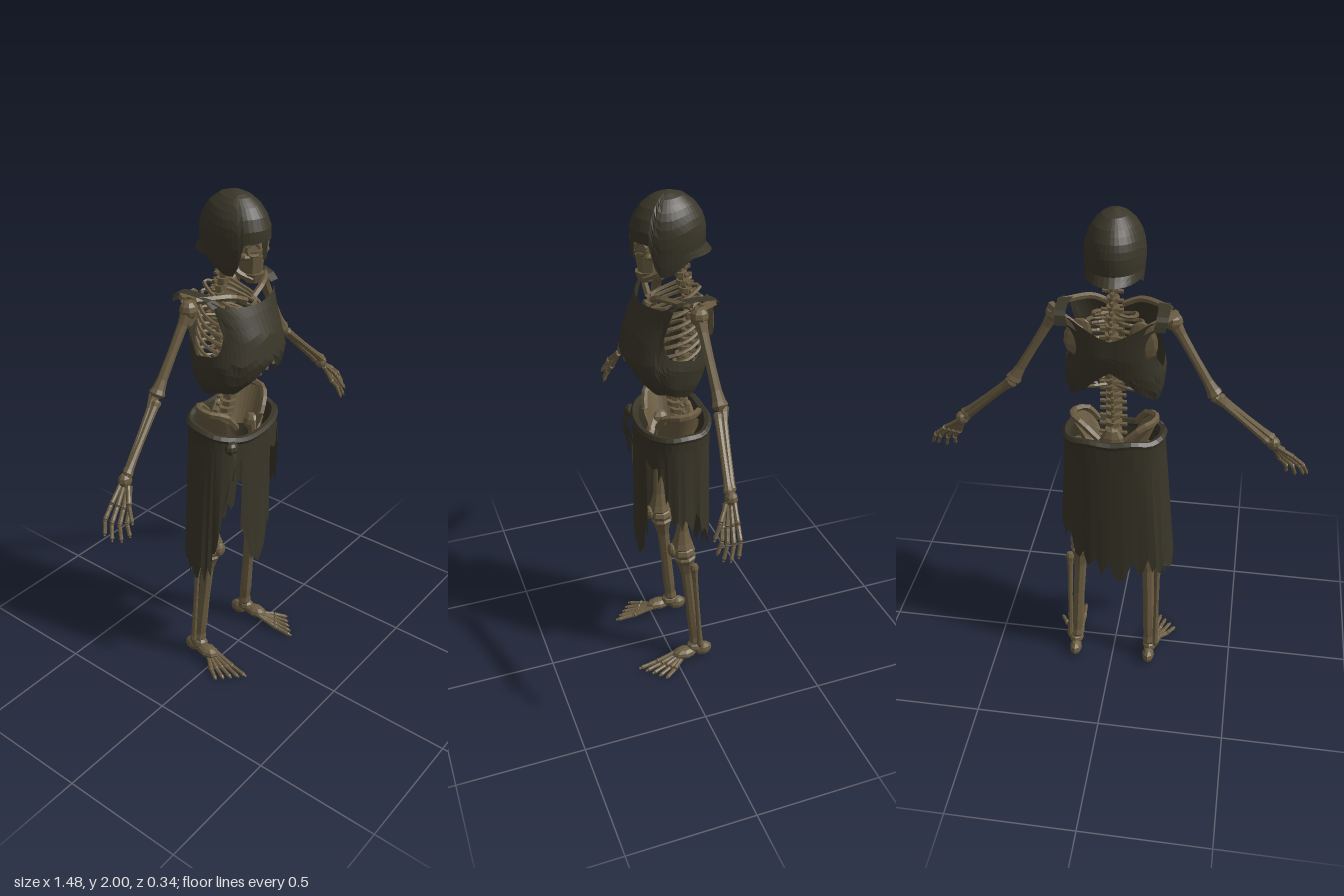
import * as THREE from 'three';
import { ParametricGeometry } from 'three/addons/geometries/ParametricGeometry.js';

const mat = (name, color) => {
  const m = new THREE.MeshStandardMaterial({ color, side: THREE.DoubleSide });
  m.name = name;
  return m;
};
const V = (x, y, z) => new THREE.Vector3(x, y, z);
const noise = (i) => { const n = Math.sin(i * 127.1 + 3.7) * 43758.5453; return n - Math.floor(n); };
const power = (x, e) => Math.sign(x) * Math.abs(x) ** e;

// piecewise linear lookup through [key, value] pairs
function ramp(pts, k) {
  if (k <= pts[0][0]) return pts[0][1];
  for (let i = 1; i < pts.length; i++) {
    const [a, p] = pts[i - 1], [b, q] = pts[i];
    if (k <= b) return p + (q - p) * (k - a) / (b - a);
  }
  return pts[pts.length - 1][1];
}

export function createModel() {
  const bone = mat('old bone', 0x6a5c41);
  const armour = mat('dark armour', 0x3a3629);
  const cloth = mat('ragged cloth', 0x393528);
  const model = new THREE.Group();
  model.name = 'armouredSkeleton';

  const add = (name, geo, material) => {
    const g = geo.index ? geo.toNonIndexed() : geo;
    g.computeVertexNormals(); // faceted look
    const mesh = new THREE.Mesh(g, material);
    mesh.name = name;
    model.add(mesh);
    return mesh;
  };
  const sheet = (name, material, fn, nu, nv) =>
    add(name, new ParametricGeometry((u, v, t) => t.set(...fn(u, v)), nu, nv), material);
  const ball = (name, p, sx, sy, sz, material = bone, n = 8) => {
    const m = add(name, new THREE.SphereGeometry(1, n, Math.max(5, n - 2)).scale(sx, sy, sz), material);
    m.position.copy(p);
    return m;
  };
  // shaft with a swollen knob at each end
  const longBone = (name, a, b, r, k0, k1 = k0) => {
    const d = b.clone().sub(a), L = d.length();
    const prof = [[0, 0], [k0 * 0.7, 0.005], [k0, 0.04], [k0 * 0.8, 0.09], [r * 1.1, 0.2], [r, 0.5],
      [r * 1.1, 0.8], [k1 * 0.8, 0.91], [k1, 0.96], [k1 * 0.7, 0.995], [0, 1]];
    const m = add(name, new THREE.LatheGeometry(prof.map(([x, y]) => new THREE.Vector2(x, y * L)), 8), bone);
    m.position.copy(a);
    m.quaternion.setFromUnitVectors(V(0, 1, 0), d.normalize());
  };
  const tube = (name, pts, r, seg = 10, sides = 5) =>
    add(name, new THREE.TubeGeometry(new THREE.CatmullRomCurve3(pts), seg, r, sides), bone);

  // ---- skull ----
  ball('cranium', V(0, 1.86, -0.02), 0.082, 0.1, 0.11, bone, 12);
  ball('face', V(0, 1.805, 0.045), 0.062, 0.06, 0.06, bone, 10);
  add('upperJaw', new THREE.CylinderGeometry(0.05, 0.038, 0.07, 8).translate(0, 1.75, 0.055), bone);
  add('chin', new THREE.CylinderGeometry(0.04, 0.028, 0.035, 8).translate(0, 1.703, 0.065), bone);
  for (const s of [1, -1]) {
    tube('eyeRim', [V(s * 0.012, 1.815, 0.098), V(s * 0.03, 1.838, 0.097), V(s * 0.056, 1.828, 0.082),
      V(s * 0.05, 1.797, 0.085), V(s * 0.02, 1.793, 0.1)], 0.007);
    ball('cheekbone', V(s * 0.055, 1.79, 0.062), 0.02, 0.013, 0.03);
    tube('jawBone', [V(s * 0.022, 1.7, 0.08), V(s * 0.05, 1.725, 0.035), V(s * 0.058, 1.785, -0.01)], 0.012);
  }

  // ---- helmet: dome with open face, cheek guards and raised nape ----
  const helmRim = [[0, 1.84], [0.6, 1.84], [0.8, 1.835], [0.92, 1.76], [1.05, 1.72], [1.35, 1.72], [1.7, 1.75], [2.1, 1.78], [Math.PI, 1.79]];
  const helmRadius = [[1.7, 0.86], [1.76, 0.94], [1.83, 1], [1.88, 0.99], [1.92, 0.88], [1.955, 0.7], [1.985, 0.4], [2, 0]];
  sheet('helmetDome', armour, (u, v) => {
    const th = (u - 0.5) * 2 * Math.PI, low = ramp(helmRim, Math.abs(th));
    const y = low + (2 - low) * Math.sin(v * Math.PI / 2), r = ramp(helmRadius, y);
    return [0.107 * r * Math.sin(th), y, -0.016 + 0.137 * r * Math.cos(th)];
  }, 40, 12);
  sheet('napeBrim', armour, (u, v) => {
    const th = 1.75 + u * (2 * Math.PI - 3.5), w = Math.sin(u * Math.PI) * v;
    return [(0.104 + 0.012 * w) * Math.sin(th), 1.81 - 0.03 * v, -0.016 + (0.135 + 0.025 * w) * Math.cos(th)];
  }, 16, 2);
  add('noseGuard', new THREE.CylinderGeometry(0.02, 0.01, 0.075, 4).scale(1, 1, 0.5).translate(0, 1.815, 0.114), armour);

  // ---- spine ----
  const spine = new THREE.CatmullRomCurve3([V(0, 1.08, -0.08), V(0, 1.2, -0.045), V(0, 1.3, -0.055), V(0, 1.45, -0.095),
    V(0, 1.58, -0.1), V(0, 1.67, -0.07), V(0, 1.79, -0.05)]);
  tube('spinalColumn', spine.points, 0.014, 24, 6);
  for (let i = 0; i < 23; i++) {
    const t = i / 22, p = spine.getPointAt(t), r = 0.034 - 0.012 * t;
    add('vertebra', new THREE.CylinderGeometry(r, r, 0.018, 8), bone).position.copy(p);
    add('vertebraWing', new THREE.BoxGeometry(r * 3.2, 0.009, 0.014), bone).position.set(0, p.y, p.z - 0.012);
    add('vertebraSpur', new THREE.BoxGeometry(0.01, 0.014, 0.03), bone).position.set(0, p.y - 0.008, p.z - 0.026);
  }

  // ---- rib cage ----
  add('breastbone', new THREE.BoxGeometry(0.035, 0.17, 0.012).rotateX(-0.25).translate(0, 1.52, 0.085), bone);
  for (const s of [1, -1]) {
    for (let i = 0; i < 10; i++) {
      const y = 1.65 - i * 0.032, w = ramp([[0, 0.075], [2, 0.12], [6, 0.145], [9, 0.13]], i);
      const fz = ramp([[0, 0.05], [5, 0.105], [7, 0.1], [9, 0.04]], i), short = i > 6;
      tube('rib', [V(s * 0.015, y, -0.09), V(s * w * 0.6, y + 0.005, -0.122), V(s * w, y - 0.03, -0.05),
        V(s * w * 0.9, y - 0.055, fz * 0.5), V(s * (short ? w * 0.6 : 0.015), y - (short ? 0.08 : 0.07), fz)], 0.0075, 16);
    }
    // shoulder girdle
    tube('collarBone', [V(s * 0.02, 1.615, 0.05), V(s * 0.09, 1.645, 0.04), V(s * 0.2, 1.65, -0.03)], 0.012);
    ball('shoulderBlade', V(s * 0.115, 1.57, -0.128), 0.05, 0.075, 0.01).rotation.z = s * 0.25;
    tube('shoulderSpine', [V(s * 0.1, 1.6, -0.135), V(s * 0.16, 1.635, -0.125), V(s * 0.222, 1.65, -0.06)], 0.015);
  }

  // ---- cuirass: shell with arm holes and an edge that peaks at front and back ----
  const top = [[0, 1.61], [0.8, 1.622], [1.02, 1.65], [1.1, 1.53], [1.3, 1.45], [1.8, 1.43], [2.08, 1.5], [2.2, 1.645], [2.5, 1.645], [Math.PI, 1.57]];
  const bottom = [[0, 1.405], [0.35, 1.345], [0.72, 1.285], [1.2, 1.3], [1.75, 1.28], [2.3, 1.305], [2.7, 1.35], [Math.PI, 1.44]];
  const frontZ = [[1.28, 0.09], [1.34, 0.135], [1.41, 0.16], [1.5, 0.145], [1.6, 0.1], [1.65, 0.07]];
  const backZ = [[1.28, -0.09], [1.33, -0.122], [1.4, -0.142], [1.5, -0.158], [1.65, -0.16]];
  const halfW = [[1.28, 0.165], [1.33, 0.18], [1.4, 0.186], [1.5, 0.168], [1.57, 0.175], [1.65, 0.205]];
  sheet('cuirass', armour, (u, v) => {
    const th = (u - 0.5) * 2 * Math.PI, a = Math.abs(th), c = Math.cos(th);
    const lo = ramp(bottom, a), y = lo + (ramp(top, a) - lo) * v;
    const f = ramp(frontZ, y), b = ramp(backZ, y), mid = (f + b) / 2, half = (f - b) / 2;
    return [ramp(halfW, y) * power(Math.sin(th), c > 0 ? 0.92 : 0.75), y, mid + half * power(c, c > 0 ? 0.95 : 0.65)];
  }, 56, 8);
  for (const s of [1, -1]) {
    const strap = new THREE.CatmullRomCurve3([V(s * 0.168, 1.63, 0.035), V(s * 0.172, 1.655, 0.005), V(s * 0.178, 1.664, -0.06),
      V(s * 0.178, 1.655, -0.13), V(s * 0.17, 1.615, -0.147)]);
    sheet('shoulderStrap', armour, (u, v) => {
      const p = strap.getPoint(u);
      return [p.x + (v - 0.5) * 0.042, p.y, p.z];
    }, 10, 1);
  }

  // ---- arms and hands ----
  for (const s of [1, -1]) {
    const P = (x, y, z) => V(s * x, y, z);
    ball('shoulderJoint', P(0.21, 1.615, -0.055), 0.034, 0.034, 0.034);
    longBone('upperArm', P(0.205, 1.625, -0.055), P(0.375, 1.335, -0.075), 0.017, 0.03, 0.03);
    longBone('ulna', P(0.365, 1.345, -0.085), P(0.578, 1.13, -0.04), 0.011, 0.022, 0.015);
    longBone('radius', P(0.382, 1.33, -0.06), P(0.595, 1.135, -0.02), 0.012, 0.018, 0.019);
    ball('wrist', P(0.597, 1.12, -0.027), 0.026, 0.028, 0.024);
    const tips = [[0.737, 0.975, 0.0], [0.725, 0.955, 0.022], [0.695, 0.94, 0.037], [0.66, 0.945, 0.045]];
    tips.forEach(([x, y, z], i) => {
      const k = P(0.672 - i * 0.015, 1.065 - i * 0.012, -0.022 + i * 0.012);
      longBone('palmBone', P(0.605 - i * 0.004, 1.115 - i * 0.004, -0.035 + i * 0.009), k, 0.008, 0.011);
      const mid = P((s * k.x + x) / 2 + 0.01, (k.y + y) / 2 + 0.006, (k.z + z) / 2 - 0.004);
      longBone('fingerBase', k, mid, 0.008, 0.01);
      longBone('fingerTip', mid, P(x, y, z), 0.007, 0.009, 0.004);
    });
    longBone('thumbBase', P(0.6, 1.11, -0.01), P(0.637, 1.06, 0.025), 0.008, 0.011);
    longBone('thumbTip', P(0.637, 1.06, 0.025), P(0.655, 1.0, 0.055), 0.007, 0.009, 0.005);
  }

  // ---- pelvis ----
  ball('sacrum', V(0, 1.1, -0.095), 0.05, 0.075, 0.028);
  tube('pubicArch', [V(-0.11, 1.04, 0), V(-0.04, 1.0, 0.045), V(0.04, 1.0, 0.045), V(0.11, 1.04, 0)], 0.018);
  for (const s of [1, -1]) {
    sheet('hipBlade', bone, (u, v) => {
      const th = 0.4 + u * 2.3, r = 0.105 + 0.062 * v;
      return [s * r * power(Math.sin(th), 0.8), 1.03 + v * (0.07 + 0.095 * Math.sin(u * Math.PI) ** 0.6),
        -0.03 + 0.088 * (0.8 + 0.2 * v) * Math.cos(th)];
    }, 12, 4);
    tube('hipCrest', [V(s * 0.075, 1.12, 0.05), V(s * 0.115, 1.175, 0.035), V(s * 0.155, 1.19, -0.01), V(s * 0.155, 1.195, -0.06),
      V(s * 0.11, 1.185, -0.1), V(s * 0.05, 1.13, -0.11)], 0.013);
    ball('hipSocket', V(s * 0.12, 1.04, -0.025), 0.035, 0.04, 0.04);
  }

  // ---- legs and feet ----
  for (const s of [1, -1]) {
    const P = (x, y, z) => V(s * x, y, z);
    longBone('thighBone', P(0.14, 1.07, -0.03), P(0.137, 0.575, -0.03), 0.022, 0.036, 0.046);
    ball('kneecap', P(0.137, 0.58, 0.015), 0.026, 0.03, 0.016);
    ball('kneeJoint', P(0.137, 0.565, -0.035), 0.05, 0.034, 0.05);
    longBone('shinBone', P(0.138, 0.555, -0.04), P(0.157, 0.07, -0.09), 0.023, 0.046, 0.028);
    longBone('calfBone', P(0.182, 0.52, -0.065), P(0.184, 0.07, -0.1), 0.01, 0.018, 0.015);
    ball('ankle', P(0.16, 0.06, -0.085), 0.031, 0.028, 0.038);
    ball('heel', P(0.158, 0.034, -0.122), 0.026, 0.032, 0.04);
    ball('midFoot', P(0.168, 0.044, -0.035), 0.034, 0.024, 0.055);
    for (let i = 0; i < 5; i++) {
      const k = P(0.156 + i * 0.017, 0.018, 0.085 - i * 0.014);
      longBone('footBone', P(0.15 + i * 0.009, 0.044 - i * 0.004, -0.015), k, 0.009, 0.012);
      longBone('toe', k, P(0.162 + i * 0.023, 0.008, 0.168 - i * 0.022), 0.008, 0.011, 0.006);
    }
  }

  // ---- ragged skirt: torn panels hanging in broad folds ----
  const waistY = (th) => 1.115 - 0.022 * Math.cos(th);
  const drape = (name, a0, a1, n, hem, seed) => sheet(name, cloth, (u, v) => {
    const th = a0 + (a1 - a0) * u, i = Math.round(u * n);
    const yTop = waistY(th), yLow = ramp(hem, th) + (i % 3 ? 0.09 * noise(i + seed) : 0);
    const fold = 1 + v * 0.05 * (Math.sin(th * 7 + seed) * 0.6 + noise(Math.floor(i / 2) + seed) - 0.5);
    const sx = power(Math.sin(th), 0.8), flare = 1 + (sx < 0 ? 0.2 : 0.12) * v;
    return [0.192 * flare * fold * sx, yTop + (yLow - yTop) * v, -0.028 + 0.13 * fold * power(Math.cos(th), 0.8)];
  }, n, 7);
  drape('skirtBack', 1.15, 5.1, 44, [[1.15, 0.76], [1.6, 0.7], [2.1, 0.68], [2.6, 0.56], [3.2, 0.47], [3.8, 0.52], [4.4, 0.47], [5.1, 0.47]], 5);
  drape('skirtFront', -0.4, 0.3, 9, [[-0.4, 0.68], [-0.05, 0.46], [0.15, 0.56], [0.3, 0.62]], 40);
  drape('skirtLeftFlap', 0.72, 1.2, 6, [[0.72, 0.93], [1.2, 0.74]], 61);
  drape('skirtRightFlap', -1.22, -0.72, 6, [[-1.22, 0.48], [-0.72, 0.85]], 77);
  const hip = [];
  for (let i = 0; i < 16; i++) {
    const th = i / 16 * 2 * Math.PI;
    hip.push(V(0.184 * power(Math.sin(th), 0.8), waistY(th) + 0.02 * (noise(i) - 0.5), -0.028 + 0.124 * power(Math.cos(th), 0.8)));
  }
  add('waistRoll', new THREE.TubeGeometry(new THREE.CatmullRomCurve3(hip, true), 40, 0.016, 6, true), cloth);
  sheet('skirtYoke', cloth, (u, v) => {
    const th = u * 2 * Math.PI, i = Math.round(u * 32) % 32;
    return [0.195 * power(Math.sin(th), 0.8), waistY(th) - v * (0.05 + 0.08 * noise(i + 9)), -0.028 + 0.132 * power(Math.cos(th), 0.8)];
  }, 32, 2);
  ball('knot', V(-0.15, 1.08, 0.085), 0.03, 0.026, 0.024, cloth);
  for (const [x, y, w] of [[-0.18, 0.87, 0.025], [-0.14, 0.93, 0.02]]) {
    sheet('knotTail', cloth, (u, v) => [-0.15 + (x + 0.15) * v + (u - 0.5) * w * (1.3 - v), 1.08 + (y - 1.08) * v,
      0.1 + 0.012 * Math.sin(v * 5) - 0.01 * u], 2, 5);
  }
  return model;
}
